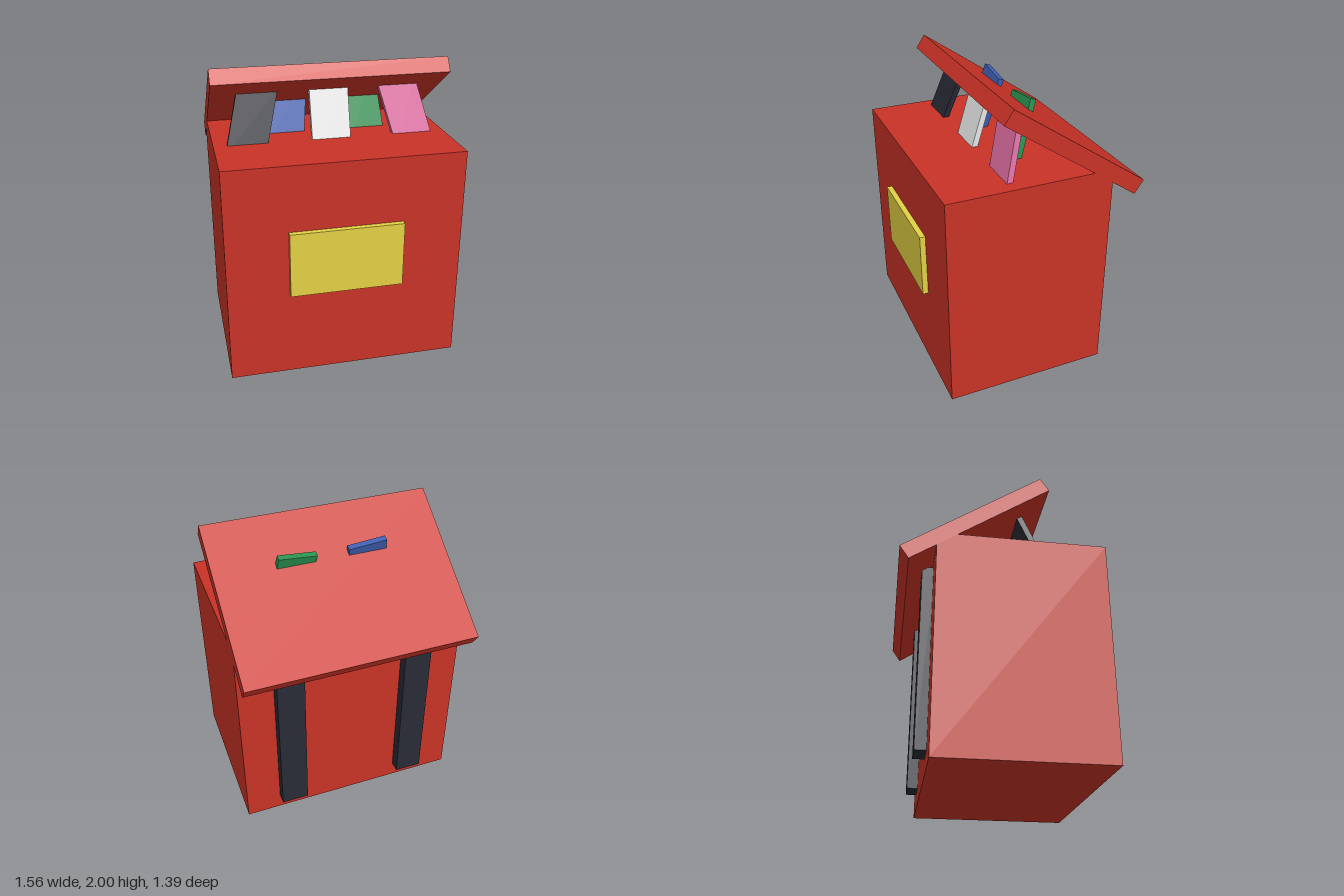
import * as THREE from 'three';

const paint = (name, color) => {
  const m = new THREE.MeshStandardMaterial({ color });
  m.name = name;
  return m;
};

export function createModel() {
  const model = new THREE.Group();
  model.name = 'backpack';

  const red = paint('red fabric', 0xc83226);
  const yellow = paint('yellow pocket', 0xe3d044);
  const charcoal = paint('charcoal', 0x292b36);
  const white = paint('white', 0xeeeeee);
  const blue = paint('blue', 0x3f5eb0);
  const green = paint('green', 0x2a9150);
  const pink = paint('pink', 0xdc6ca1);

  // A box centred at (x, y, z)
  const box = (name, material, w, h, d, x, y, z) => {
    const mesh = new THREE.Mesh(new THREE.BoxGeometry(w, h, d), material);
    mesh.name = name;
    mesh.position.set(x, y, z);
    model.add(mesh);
    return mesh;
  };

  // Bag body and front pocket
  const top = 1.49;
  box('body', red, 1.56, top, 1.115, 0, top / 2, 0.1);
  box('frontPocket', yellow, 0.75, 0.445, 0.06, 0, 0.8225, 0.665);

  // Half-open flap, raised at the front
  const flap = box('flap', red, 1.56, 0.108, 1.115, 0, 1.64, -0.2);
  flap.rotation.x = -0.6;

  // Shoulder straps on the back
  for (const [name, side] of [['leftStrap', 1], ['rightStrap', -1]]) {
    box(name, charcoal, 0.187, 1.26, 0.09, side * 0.445, 0.745, -0.487);
  }

  // Books leaning back, each pivoting where it leaves the bag
  const sunk = 0.1, rise = 0.378;
  const book = (name, material, x, z, lean) => {
    const mesh = box(name, material, 0.26, rise + sunk, 0.04, x, top, z);
    mesh.geometry.translate(0, (rise - sunk) / 2, 0);
    mesh.rotation.set(-0.3, 0, lean);
  };
  book('charcoalBook', charcoal, -0.555, 0.208, -0.245);
  book('whiteBook', white, 0, 0.208, 0);
  book('pinkBook', pink, 0.555, 0.208, 0.245);
  book('blueBook', blue, -0.278, 0.02, -0.11);
  book('greenBook', green, 0.278, 0.02, 0.11);

  return model;
}
